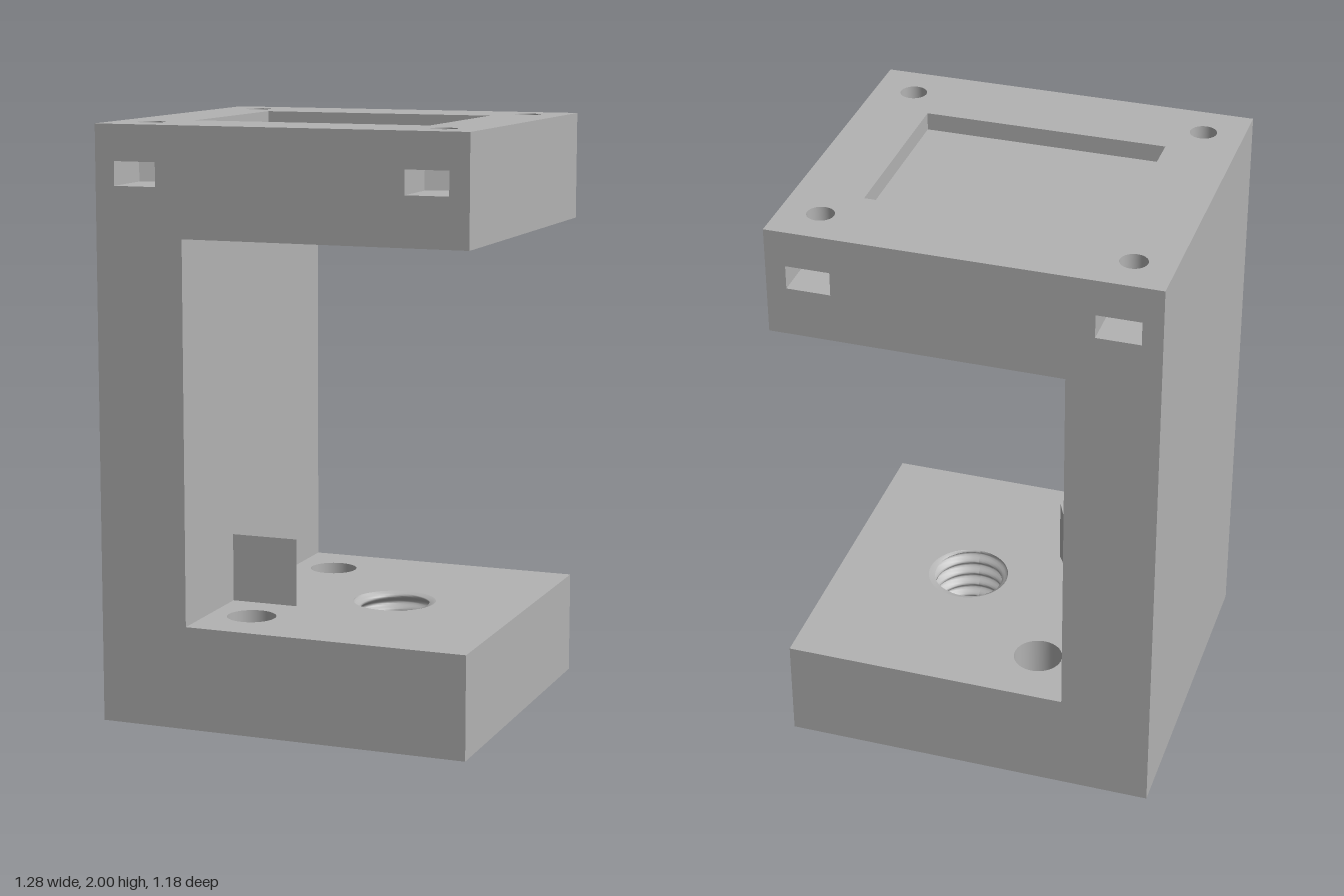
import * as THREE from 'three';

const W = 0.64, D = 0.59, H = 2;              // half width, half depth, height
const BASE = 0.35, ROOF = 1.635, COL = -0.335; // inner faces of the C shape
const SLOT_LOW = 1.80, SLOT_HIGH = 1.88, SCREW_R = 0.045;
const BORE = { x: 0.184, z: 0, r: 0.142 };

const grey = new THREE.MeshStandardMaterial({ color: 0xb3b3b3, side: THREE.DoubleSide });
grey.name = 'grey';

const rect = (x0, y0, x1, y1) => [[x0, y0], [x1, y0], [x1, y1], [x0, y1]];
const path = (pts) => new THREE.Path(pts.map(([x, y]) => new THREE.Vector2(x, y)));
const circle = (x, y, r) => path(Array.from({ length: 48 }, (_, i) => {
  const a = (i / 48) * Math.PI * 2;
  return [x + r * Math.cos(a), y + r * Math.sin(a)];
}));

export function createModel() {
  const group = new THREE.Group();

  const add = (name, geometry) => {
    const mesh = new THREE.Mesh(geometry, grey);
    mesh.name = name;
    group.add(mesh);
    return mesh;
  };
  const face = (pts, holes = []) => {
    const shape = new THREE.Shape(path(pts).getPoints());
    shape.holes.push(...holes);
    return new THREE.ShapeGeometry(shape);
  };
  // Horizontal faces: outline given in x, z
  const faceUp = (name, y, pts, holes) =>
    add(name, face(pts, holes).rotateX(Math.PI / 2).translate(0, y, 0).scale(1, 1, 1));
  const flip = (geometry) => {
    const a = geometry.index.array;
    for (let i = 0; i < a.length; i += 3) [a[i], a[i + 1]] = [a[i + 1], a[i]];
    geometry.computeVertexNormals();
    return geometry;
  };
  const level = (name, y, up, pts, holes) => {
    const mesh = faceUp(name, y, pts, holes);
    if (up) flip(mesh.geometry);
  };
  // Faces towards +x or -x
  const side = (name, x, y0, y1, sign) => add(name,
    new THREE.PlaneGeometry(2 * D, y1 - y0).rotateY(sign * Math.PI / 2).translate(x, (y0 + y1) / 2, 0));
  // Upright walls along a path in x, z
  const walls = (name, pts, y0, y1) => {
    const v = [];
    for (let i = 0; i < pts.length - 1; i++) {
      const [[ax, az], [bx, bz]] = [pts[i], pts[i + 1]];
      v.push(ax, y0, az, bx, y0, bz, bx, y1, bz, ax, y0, az, bx, y1, bz, ax, y1, az);
    }
    const g = new THREE.BufferGeometry();
    g.setAttribute('position', new THREE.Float32BufferAttribute(v, 3));
    g.computeVertexNormals();
    add(name, g);
  };
  const bore = (name, x, z, r, y0, y1) => add(name,
    new THREE.CylinderGeometry(r, r, y1 - y0, 48, 1, true).translate(x, (y0 + y1) / 2, z));

  // C-shaped front and back with nut slot openings
  const profile = [[-W, 0], [W, 0], [W, BASE], [COL, BASE], [COL, ROOF], [W, ROOF], [W, H], [-W, H]];
  const openings = () => [-0.5, 0.5].map((x) => path(rect(x - 0.073, SLOT_LOW, x + 0.073, SLOT_HIGH)));
  add('frontFace', face(profile, openings()).translate(0, 0, D));
  add('backFace', face(profile.map(([x, y]) => [-x, y]), openings()).rotateY(Math.PI).translate(0, 0, -D));

  // Side faces
  side('columnOuterFace', -W, 0, H, -1);
  side('columnInnerFace', COL, BASE, ROOF, 1);
  side('baseEnd', W, 0, BASE, 1);
  side('topEnd', W, ROOF, H, 1);

  // Top plate with recess and screw holes
  const screws = [];
  for (const x of [-0.505, 0.505]) for (const z of [-0.445, 0.445]) screws.push([x, z]);
  const recess = rect(-0.41, -0.31, 0.41, 0.31);
  level('topFace', H, true, rect(-W, -D, W, D),
    [path(recess), ...screws.map(([x, z]) => circle(x, z, SCREW_R))]);
  level('recessFloor', H - 0.06, true, recess);
  walls('recessWalls', [...recess, recess[0]], H - 0.06, H);
  level('topUnderside', ROOF, false, rect(COL, -D, W, D));

  // Screw holes meeting pointed nut slots
  for (const [x, z] of screws) {
    const s = Math.sign(z), cx = Math.sign(x) * 0.5;
    const slot = [[cx - 0.073, s * D], [cx - 0.073, s * 0.403], [cx, s * 0.361],
      [cx + 0.073, s * 0.403], [cx + 0.073, s * D]];
    bore('screwHole', x, z, SCREW_R, SLOT_HIGH, H);
    walls('nutSlotWalls', slot, SLOT_LOW, SLOT_HIGH);
    level('nutSlotFloor', SLOT_LOW, true, slot);
    level('nutSlotCeiling', SLOT_HIGH, false, slot, [circle(x, z, SCREW_R)]);
  }

  // Base with two plain holes and a threaded bore
  const pins = [[-0.19, -0.377], [-0.19, 0.377]];
  const baseHoles = () => [circle(BORE.x, BORE.z, BORE.r), ...pins.map(([x, z]) => circle(x, z, 0.083))];
  level('baseTop', BASE, true, rect(COL, -D, W, D), baseHoles());
  level('baseUnderside', 0, false, rect(-W, -D, W, D), baseHoles());
  for (const [x, z] of pins) bore('baseHole', x, z, 0.083, 0, BASE);

  // Helical thread: radius follows height and angle
  const thread = new THREE.CylinderGeometry(1, 1, BASE, 48, 70, true).translate(0, BASE / 2, 0);
  const p = thread.attributes.position;
  const pitch = 0.05;
  for (let i = 0; i < p.count; i++) {
    const x = p.getX(i), y = p.getY(i), z = p.getZ(i);
    const t = y / pitch - Math.atan2(z, x) / (2 * Math.PI);
    const ridge = Math.abs((t - Math.floor(t)) * 2 - 1);
    const atEnd = y < 0.001 || y > BASE - 0.001;
    const r = atEnd ? BORE.r : BORE.r - 0.022 * THREE.MathUtils.clamp(ridge * 1.6 - 0.3, 0, 1);
    p.setXYZ(i, BORE.x + x * r, y, BORE.z + z * r);
  }
  thread.computeVertexNormals();
  add('threadedBore', thread);

  // Corner stop: square front tapering to a point at the column foot
  const R = -0.1, T = 0.583, F = 0.197;
  const tip = [COL, BASE, -0.187];
  const a = [COL, BASE, F], b = [R, BASE, F], c = [R, T, F], d = [COL, T, F];
  const stop = new THREE.BufferGeometry();
  stop.setAttribute('position', new THREE.Float32BufferAttribute(
    [a, b, c, a, c, d, b, tip, c, c, tip, d].flat(), 3));
  stop.computeVertexNormals();
  add('cornerStop', stop);

  return group;
}
